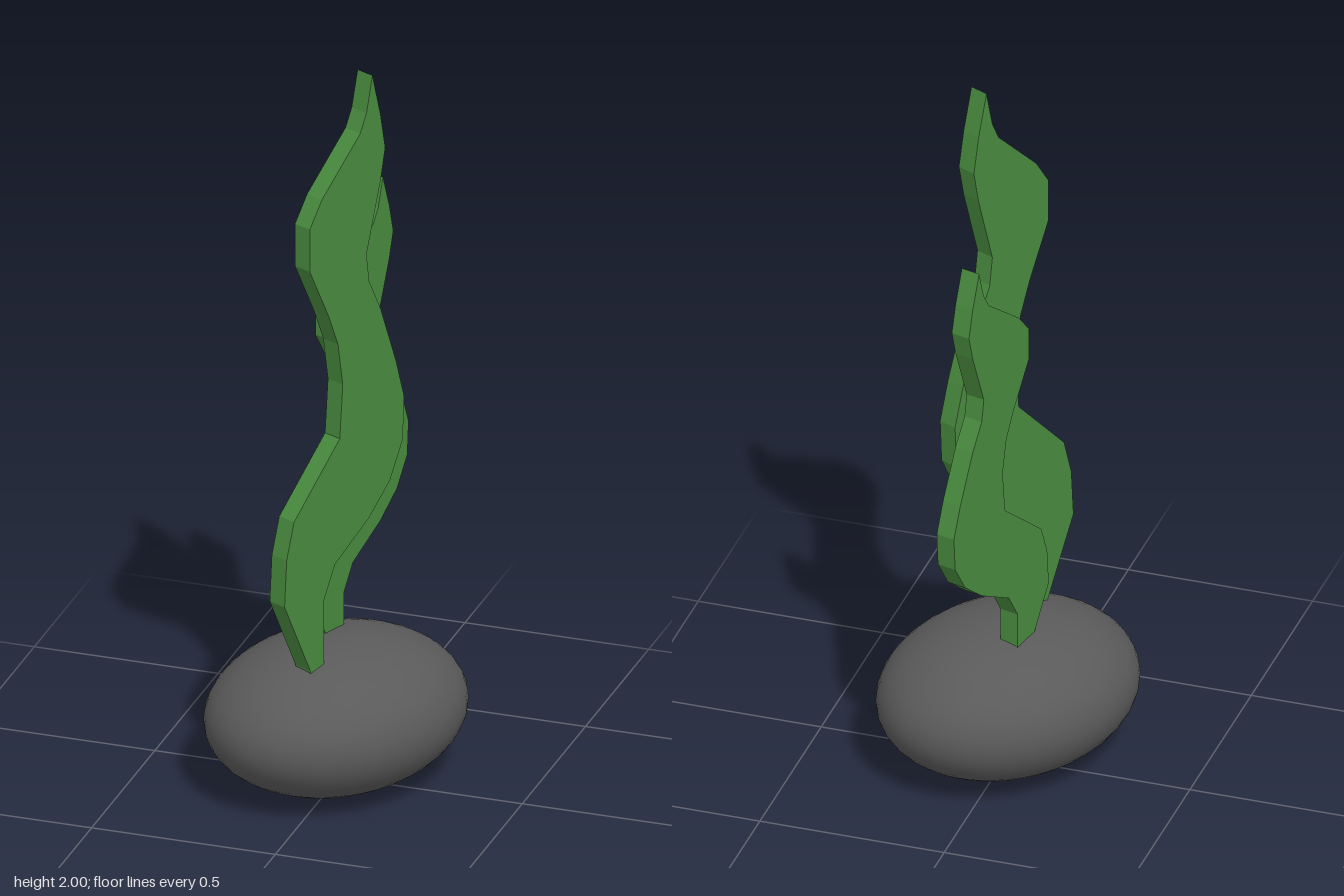
import * as THREE from 'three';

// Blade outline: [z, y] pairs up one edge and down the other
const OUTLINE = [
  [0.18, 0.34], [0.19, 0.39], [0.276, 0.6], [0.269, 0.73], [0.244, 0.83], [0.09, 1.01], [0.08, 1.16],
  [0.096, 1.28], [0.127, 1.37], [0.191, 1.52], [0.191, 1.64], [0.15, 1.71],
  [0.021, 1.85], [0, 1.9], [-0.02, 2],
  [-0.047, 1.88], [-0.063, 1.78], [-0.047, 1.69], [0, 1.5], [-0.009, 1.42],
  [-0.047, 1.33], [-0.1, 1.16], [-0.127, 1.05], [-0.122, 0.93], [-0.079, 0.83],
  [-0.009, 0.75], [0.106, 0.66], [0.144, 0.57], [0.144, 0.34],
];
const THICKNESS = 0.053;

export function createModel() {
  const model = new THREE.Group();
  const leafGreen = new THREE.MeshStandardMaterial({ color: 0x488a3e });
  leafGreen.name = 'leaf green';
  const stoneGrey = new THREE.MeshStandardMaterial({ color: 0x5a5a5a });
  stoneGrey.name = 'stone grey';

  // Flattened oval stone, turned in plan
  const stone = new THREE.Mesh(new THREE.SphereGeometry(1, 40, 24), stoneGrey);
  stone.name = 'stone';
  stone.scale.set(0.302, 0.204, 0.37);
  stone.position.set(0, 0.204, 0.02);
  stone.rotation.y = -0.51;
  model.add(stone);

  // Wavy flat blade shared by both fronds
  const shape = new THREE.Shape(OUTLINE.map(([z, y]) => new THREE.Vector2(z / 0.907, y)));
  const blade = new THREE.ExtrudeGeometry(shape, { depth: THICKNESS, bevelEnabled: false });
  blade.translate(0, 0, -THICKNESS / 2);

  function addFrond(name, x, z, turn, heightScale, lift) {
    const frond = new THREE.Mesh(blade, leafGreen);
    frond.name = name;
    frond.position.set(x, lift, z);
    frond.rotation.y = -(Math.PI / 2 + turn);
    frond.scale.y = heightScale;
    model.add(frond);
  }
  addFrond('tallFrond', 0.056, 0, 0.434, 1, 0);
  addFrond('shortFrond', 0.005, -0.232, 0.26, 0.776, 0.048);

  return model;
}
